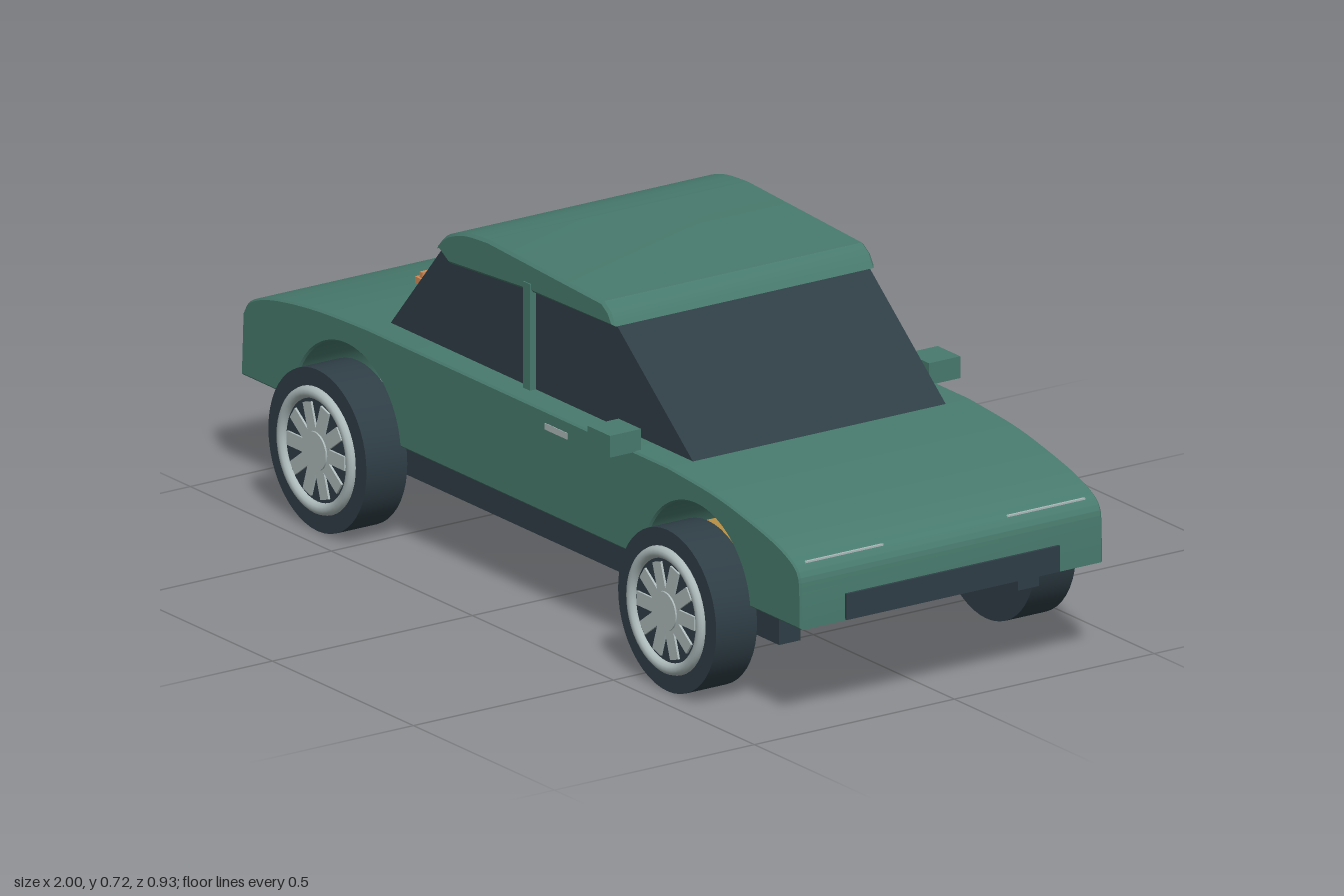
import * as THREE from 'three';
import { toCreasedNormals } from 'three/addons/utils/BufferGeometryUtils.js';

const mat = (name, color) => {
  const m = new THREE.MeshStandardMaterial({ color });
  m.name = name;
  return m;
};

export function createModel() {
  const car = new THREE.Group();
  car.name = 'car';
  const green = mat('green paint', 0x487a6d);
  const dark = mat('dark slate', 0x2f3e46);
  const silver = mat('silver metal', 0xadbaba);
  const gold = mat('gold floor', 0xd0a450);
  const copper = mat('copper', 0xd48a55);

  const add = (name, geo, material, parent = car) => {
    const m = new THREE.Mesh(geo, material);
    m.name = name;
    parent.add(m);
    return m;
  };
  // box given by its min and max on each axis
  const box = (name, material, x0, x1, y0, y1, z0, z1) => {
    const m = add(name, new THREE.BoxGeometry(x1 - x0, y1 - y0, z1 - z0), material);
    m.position.set((x0 + x1) / 2, (y0 + y1) / 2, (z0 + z1) / 2);
    return m;
  };
  // side profile extruded across the car, half width w
  const across = (shape, w, bevel) => {
    const g = new THREE.ExtrudeGeometry(shape, {
      depth: 2 * (w - bevel), bevelEnabled: bevel > 0, bevelSize: bevel, bevelThickness: bevel,
      bevelOffset: -bevel, bevelSegments: 1, curveSegments: 24,
    });
    g.translate(0, 0, -(w - bevel));
    return toCreasedNormals(g, 0.5);
  };
  const pts = (list) => list.map(([x, y]) => new THREE.Vector2(x, y));

  // body with wheel arches cut right through
  const body = new THREE.Shape();
  const ar = 0.19, a = Math.asin(0.022 / ar);
  body.moveTo(0.992, 0.22);
  body.lineTo(0.99, 0.3);
  body.splineThru(pts([[0.985, 0.333], [0.962, 0.358], [0.9, 0.384], [0.8, 0.408], [0.68, 0.429], [0.52, 0.442]]));
  body.lineTo(-0.55, 0.443);
  body.splineThru(pts([[-0.7, 0.437], [-0.82, 0.425], [-0.91, 0.408], [-0.965, 0.385], [-0.988, 0.355]]));
  body.lineTo(-0.994, 0.22);
  for (const x of [-0.62, 0.62]) {
    body.lineTo(x - ar * Math.cos(a), 0.22);
    body.absarc(x, 0.198, ar, Math.PI - a, a, true);
  }
  body.closePath();
  add('body', across(body, 0.378, 0.004), green);

  // glasshouse
  const glass = new THREE.Shape(pts([[0.53, 0.435], [0.247, 0.664], [-0.37, 0.65], [-0.557, 0.435]]));
  add('windows', across(glass, 0.316, 0), dark);

  // roof
  const roof = new THREE.Shape();
  roof.moveTo(0.256, 0.66);
  roof.lineTo(0.24, 0.688);
  roof.lineTo(0.215, 0.704);
  roof.lineTo(-0.19, 0.723);
  roof.splineThru(pts([[-0.27, 0.716], [-0.335, 0.694], [-0.373, 0.66]]));
  roof.lineTo(-0.33, 0.634);
  roof.lineTo(-0.05, 0.653);
  roof.closePath();
  add('roof', across(roof, 0.328, 0.006), green);

  // paired side details
  for (const s of [1, -1]) {
    const side = (name, m, x0, x1, y0, y1, z0, z1) =>
      box(name, m, x0, x1, y0, y1, Math.min(s * z0, s * z1), Math.max(s * z0, s * z1));
    side('doorPillar', green, -0.06, -0.035, 0.435, 0.672, 0.3, 0.331);
    side('mirror', green, 0.32, 0.4, 0.44, 0.487, 0.36, 0.438);
    side('doorHandle', silver, 0.085, 0.165, 0.402, 0.416, 0.374, 0.3795);
    side('tailLight', copper, -0.998, -0.985, 0.292, 0.347, 0.14, 0.36);
    side('headlight', silver, 0.95, 0.969, 0.351, 0.357, 0.155, 0.35);
    side('frameRail', dark, -0.84, 0.84, 0.136, 0.192, 0.272, 0.325);
  }
  box('frontGrille', dark, 0.985, 0.997, 0.222, 0.278, -0.267, 0.267);
  box('rearPanel', dark, -0.998, -0.985, 0.222, 0.278, -0.267, 0.267);

  // chassis: floor tub, cross members and axles
  box('floorTub', gold, -0.448, 0.448, 0.189, 0.35, -0.272, 0.272);
  for (const x of [-0.62, -0.24, 0.24, 0.62])
    box('crossMember', silver, x - 0.025, x + 0.025, 0.137, 0.19, -0.274, 0.274);
  for (const x of [-0.62, 0.62]) {
    const axle = add('axle', new THREE.CylinderGeometry(0.019, 0.019, 0.84, 20), silver);
    axle.rotation.x = Math.PI / 2;
    axle.position.set(x, 0.172, 0);
  }

  // engine with ribs underneath and slatted copper cover on top
  box('engineBlock', silver, -0.72, -0.52, 0.192, 0.3, -0.115, 0.115);
  for (let i = 0; i < 6; i++) {
    const z = -0.095 + i * 0.038;
    box('engineRib', silver, -0.72, -0.52, 0.17, 0.192, z - 0.011, z + 0.011);
  }
  box('engineCover', copper, -0.75, -0.55, 0.364, 0.448, -0.115, 0.115);
  for (let i = 0; i < 6; i++) {
    const x = -0.735 + i * 0.034;
    box('coverSlat', copper, x - 0.005, x + 0.005, 0.448, 0.46, -0.11, 0.11);
  }

  // wheels, built facing +z
  const tyreGeo = toCreasedNormals(new THREE.CylinderGeometry(0.174, 0.174, 0.102, 48).rotateX(Math.PI / 2), 0.5);
  const rimGeo = new THREE.TorusGeometry(0.123, 0.013, 12, 48);
  const hubGeo = new THREE.CylinderGeometry(0.042, 0.042, 0.016, 24).rotateX(Math.PI / 2);
  const spokeGeo = new THREE.BoxGeometry(0.08, 0.03, 0.012).translate(0.062, 0, 0);
  for (const x of [-0.62, 0.62]) for (const s of [1, -1]) {
    const wheel = new THREE.Group();
    wheel.name = 'wheel';
    add('tyre', tyreGeo, dark, wheel);
    add('rim', rimGeo, silver, wheel).position.z = 0.051;
    add('hub', hubGeo, silver, wheel).position.z = 0.052;
    for (let i = 0; i < 10; i++) {
      const spoke = add('spoke', spokeGeo, silver, wheel);
      spoke.position.z = 0.05;
      spoke.rotation.z = (i * Math.PI) / 5;
    }
    wheel.position.set(x, 0.174, s * 0.399);
    if (s < 0) wheel.rotation.y = Math.PI;
    car.add(wheel);
  }
  return car;
}
